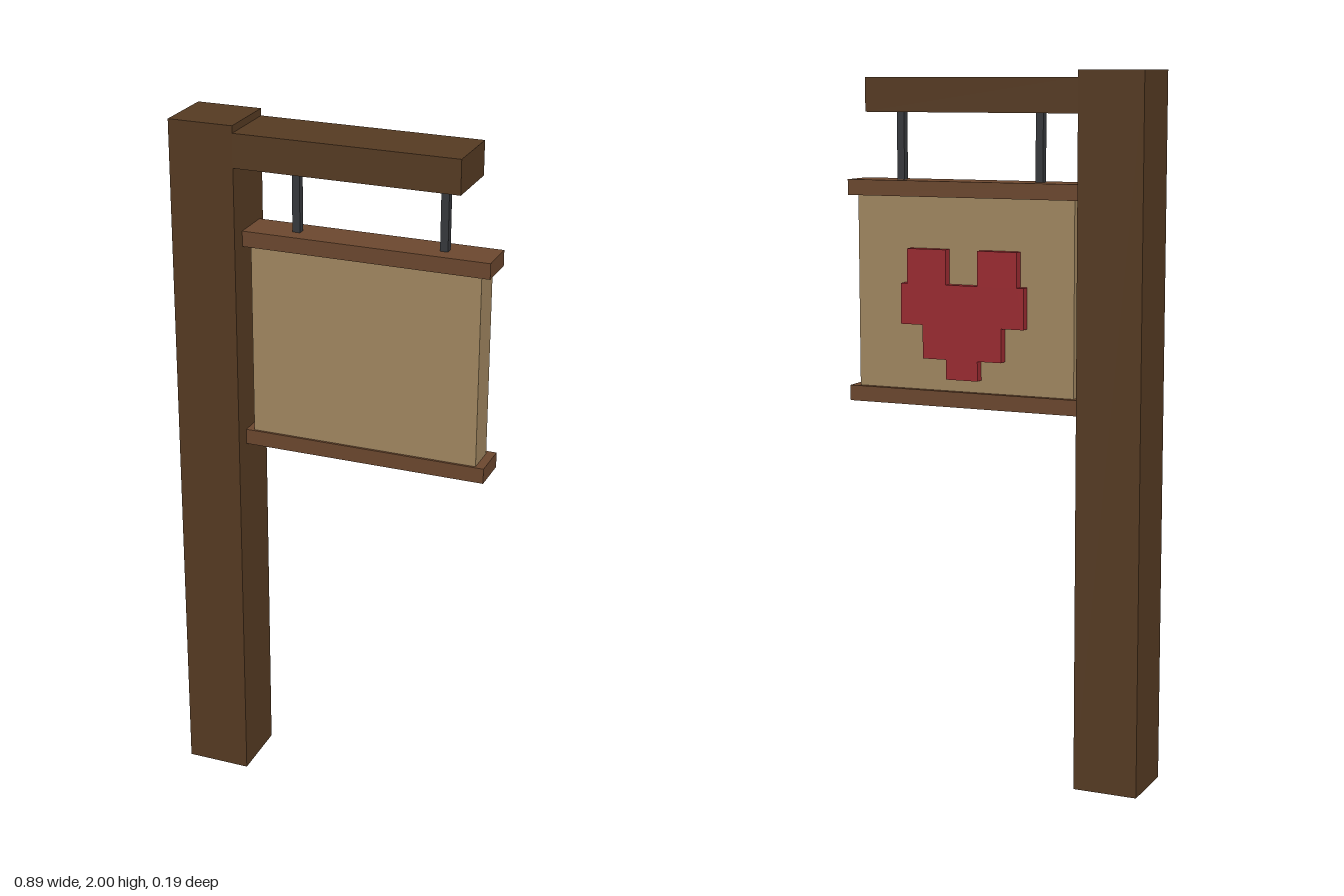
import * as THREE from 'three';

const material = (color) => new THREE.MeshStandardMaterial({ color });

export function createModel() {
  const sign = new THREE.Group();
  sign.name = 'hangingSign';

  const darkWood = material(0x553a22);
  const railWood = material(0x6b472e);
  const paleWood = material(0xa08660);
  const iron = material(0x36383c);
  const red = material(0x9a2a30);

  // Box given by its lowest and highest corners
  const box = (name, mat, [x0, y0, z0], [x1, y1, z1]) => {
    const mesh = new THREE.Mesh(new THREE.BoxGeometry(x1 - x0, y1 - y0, z1 - z0), mat);
    mesh.position.set((x0 + x1) / 2, (y0 + y1) / 2, (z0 + z1) / 2);
    mesh.name = name;
    sign.add(mesh);
  };

  // Post and the arm reaching out from it
  box('post', darkWood, [-0.447, 0, -0.094], [-0.26, 2, 0.094]);
  box('arm', darkWood, [-0.26, 1.885, -0.094], [0.375, 1.98, 0.094]);

  // Hanging rods
  for (const x of [-0.12, 0.302]) {
    box('rod', iron, [x - 0.011, 1.69, -0.022], [x + 0.011, 1.885, 0]);
  }

  // Sign board between two rails
  box('board', paleWood, [-0.238, 1.108, -0.056], [0.42, 1.652, 0.037]);
  for (const y of [1.064, 1.652]) {
    box('rail', railWood, [-0.26, y, -0.072], [0.445, y + 0.044, 0.044]);
  }

  // Stepped heart on the back of the board: right half outline, then mirrored
  const half = [
    [0.048, 1.144], [0.048, 1.2], [0.12, 1.2], [0.12, 1.295], [0.187, 1.295],
    [0.187, 1.41], [0.167, 1.41], [0.167, 1.508], [0.048, 1.508], [0.048, 1.41],
  ];
  const outline = [...half, ...half.map(([x, y]) => [-x, y]).reverse()];
  const shape = new THREE.Shape(outline.map(([x, y]) => new THREE.Vector2(x, y)));
  const heart = new THREE.Mesh(
    new THREE.ExtrudeGeometry(shape, { depth: 0.03, bevelEnabled: false }), red);
  heart.position.set(0.088, 0, -0.083);
  heart.name = 'heart';
  sign.add(heart);

  return sign;
}
